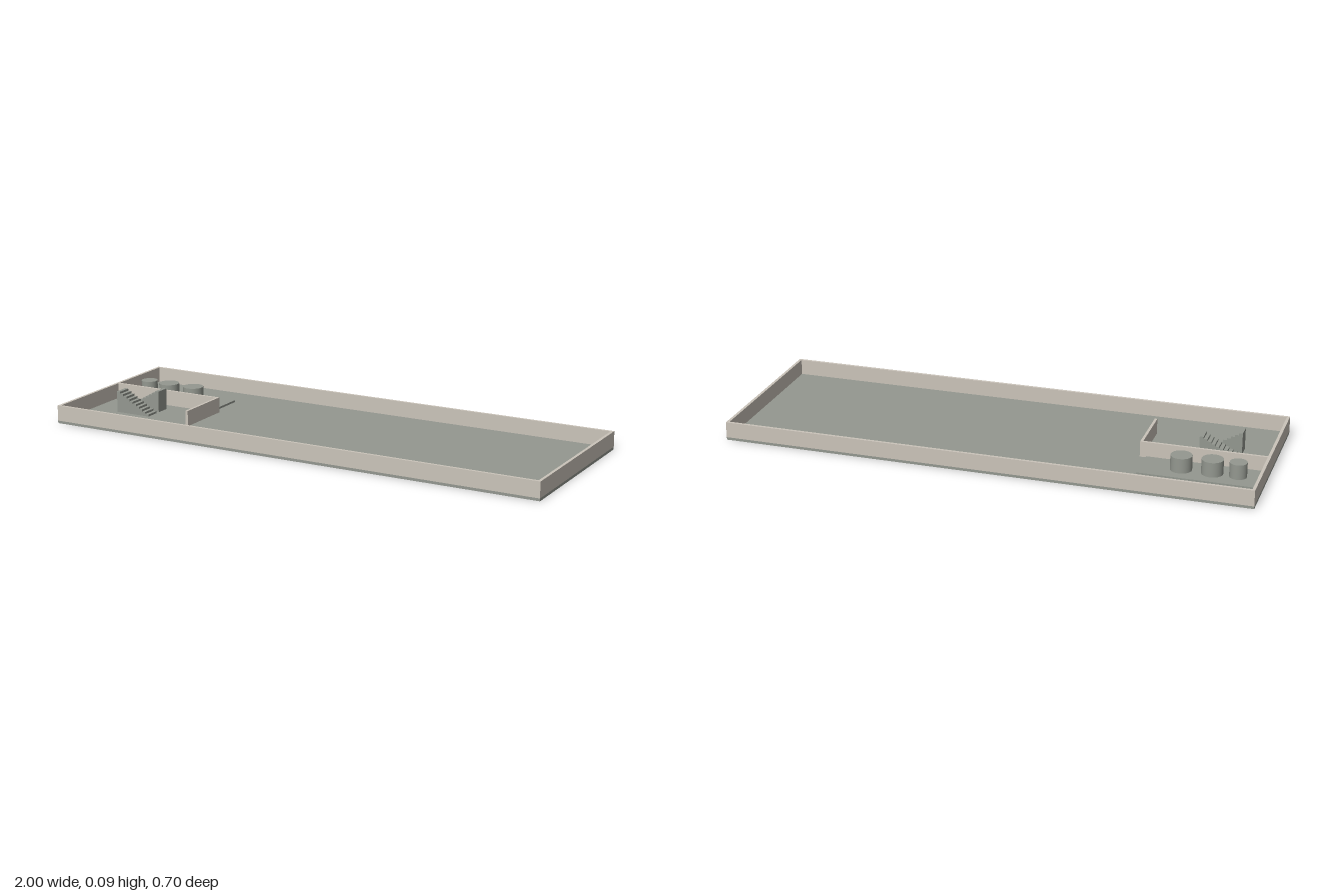
import * as THREE from 'three';

const wallMat = new THREE.MeshStandardMaterial({ name: 'pale stone', color: 0xcbc4ba });
const floorMat = new THREE.MeshStandardMaterial({ name: 'grey concrete', color: 0x949890 });

const FLOOR = 0.01, TOP = 0.07, DEPTH = 0.348, WALL = 0.011;

// Box given by its min and max corners
function box(parent, name, mat, [x0, y0, z0], [x1, y1, z1]) {
  const mesh = new THREE.Mesh(new THREE.BoxGeometry(x1 - x0, y1 - y0, z1 - z0), mat);
  mesh.position.set((x0 + x1) / 2, (y0 + y1) / 2, (z0 + z1) / 2);
  mesh.name = name;
  parent.add(mesh);
}

// Solid flight of steps rising towards +x, extruded along z
function flight(name, x0, x1, z0, z1, height, steps, risesLeft) {
  const run = (x1 - x0) / steps, rise = height / steps, half = (x1 - x0) / 2;
  const shape = new THREE.Shape();
  shape.moveTo(-half, 0);
  for (let i = 0; i < steps; i++) {
    shape.lineTo(-half + i * run, (i + 1) * rise);
    shape.lineTo(-half + (i + 1) * run, (i + 1) * rise);
  }
  shape.lineTo(half, 0);
  shape.closePath();
  const geo = new THREE.ExtrudeGeometry(shape, { depth: z1 - z0, bevelEnabled: false });
  geo.translate(0, 0, -(z1 - z0) / 2);
  if (!risesLeft) geo.rotateY(Math.PI);
  const mesh = new THREE.Mesh(geo, floorMat);
  mesh.position.set((x0 + x1) / 2, FLOOR, (z0 + z1) / 2);
  mesh.name = name;
  return mesh;
}

export function createModel() {
  const model = new THREE.Group();
  model.name = 'walledFloor';

  // Floor slab
  box(model, 'floorSlab', floorMat, [-1, 0, -DEPTH], [1, FLOOR, DEPTH]);

  // Perimeter walls
  const walls = new THREE.Group();
  walls.name = 'outerWalls';
  box(walls, 'frontWall', wallMat, [-1, FLOOR, DEPTH - WALL], [1, TOP, DEPTH]);
  box(walls, 'backWall', wallMat, [-1, FLOOR, -DEPTH], [1, TOP, -DEPTH + WALL]);
  box(walls, 'leftWall', wallMat, [1 - WALL, FLOOR, -DEPTH + WALL], [1, TOP, DEPTH - WALL]);
  box(walls, 'rightWall', wallMat, [-1, FLOOR, -DEPTH + WALL], [-1 + WALL, TOP, DEPTH - WALL]);
  model.add(walls);

  // L-shaped partition
  const partition = new THREE.Group();
  partition.name = 'partition';
  box(partition, 'longPartition', wallMat, [-1 + WALL, FLOOR, -0.053], [-0.519, TOP, -0.043]);
  box(partition, 'shortPartition', wallMat, [-0.529, FLOOR, -0.043], [-0.519, TOP, 0.174]);
  model.add(partition);

  // Plinth with three tanks
  const tanks = new THREE.Group();
  tanks.name = 'tankPlatform';
  box(tanks, 'plinth', floorMat, [-0.973, FLOOR, -0.211], [-0.545, 0.018, -0.061]);
  for (const [x, r] of [[-0.9, 0.032], [-0.806, 0.04], [-0.692, 0.04]]) {
    const tank = new THREE.Mesh(new THREE.CylinderGeometry(r, r, 0.056, 32), floorMat);
    tank.position.set(x, 0.046, -0.134);
    tank.name = 'tank';
    tanks.add(tank);
  }
  model.add(tanks);

  // Two flights of stairs rising in opposite directions
  const stairs = new THREE.Group();
  stairs.name = 'stairs';
  stairs.add(flight('frontFlight', -0.872, -0.727, 0.078, 0.134, 0.083, 10, false));
  stairs.add(flight('backFlight', -0.872, -0.727, 0.006, 0.062, 0.083, 10, true));
  model.add(stairs);

  return model;
}
